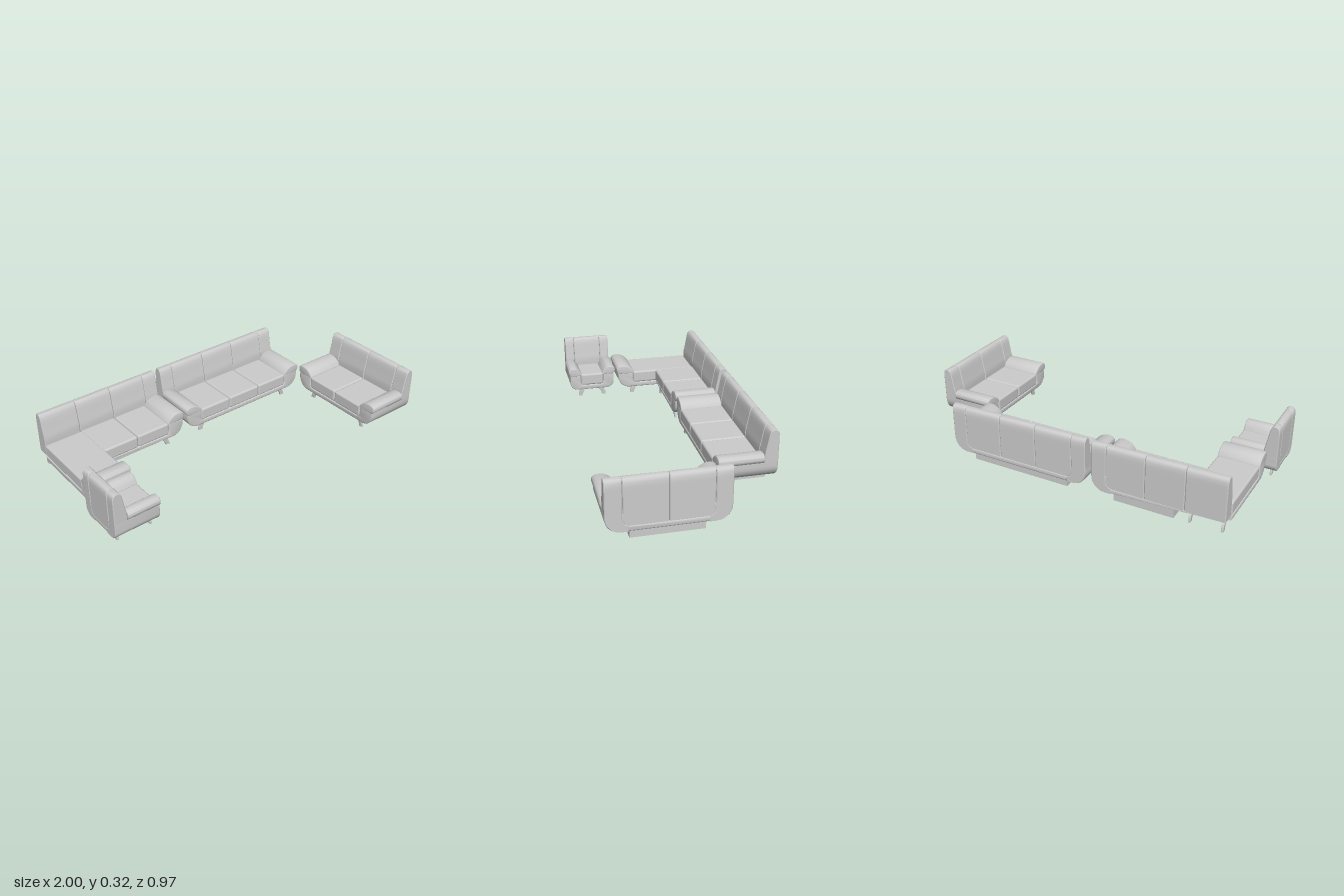
import * as THREE from 'three';
import { toCreasedNormals } from 'three/addons/utils/BufferGeometryUtils.js';
import { RoundedBoxGeometry } from 'three/addons/geometries/RoundedBoxGeometry.js';

const material = new THREE.MeshStandardMaterial({ color: 0xcccccc, side: THREE.DoubleSide });
const FLOOR = 0.05, SEAT = 0.08, BACK = 0.075;

function add(group, name, geometry) {
  const mesh = new THREE.Mesh(geometry, material);
  mesh.name = name;
  group.add(mesh);
  return mesh;
}

// Extrude a shape from z0 to z1 with a small soft edge
function extrude(shape, z0, z1, bevel = 0.006) {
  const g = new THREE.ExtrudeGeometry(shape, {
    depth: z1 - z0 - 2 * bevel, curveSegments: 10, bevelEnabled: bevel > 0,
    bevelThickness: bevel, bevelSize: bevel, bevelOffset: -bevel, bevelSegments: 3,
  });
  g.translate(0, 0, z0 + bevel);
  return toCreasedNormals(g, 0.7);
}

// Backrest side profile: height, rear z, front z
const profile = [[0.05, 0, 0.075], [0.19, 0, 0.074], [0.23, 0, 0.066], [0.28, 0, 0.057],
  [0.305, 0.001, 0.052], [0.316, 0.005, 0.047], [0.322, 0.01, 0.042], [0.325, 0.018, 0.036]];
const heights = [0.05, 0.052, 0.056, 0.063, 0.072, 0.08, 0.083, 0.088, 0.096, 0.11, 0.13, 0.16,
  0.19, 0.21, 0.23, 0.255, 0.28, 0.305, 0.316, 0.322, 0.325];

function profileAt(y) {
  let i = 0;
  while (i < profile.length - 2 && y > profile[i + 1][0]) i++;
  const [a, b] = [profile[i], profile[i + 1]];
  const t = (y - a[0]) / (b[0] - a[0]);
  return [a[1] + (b[1] - a[1]) * t, a[2] + (b[2] - a[2]) * t];
}

// Upright backrest slab lofted through chamfered rectangles; xa(y), xb(y) are its edges
function slab(xa, xb, bottom) {
  const pos = [], idx = [];
  const rows = heights.filter((y) => y >= bottom);
  rows.forEach((y) => {
    const [zb, zf] = profileAt(y), l = xa(y), r = xb(y);
    const c = Math.min(0.004, (r - l) * 0.3);
    [[l + c, zf], [r - c, zf], [r, zf - c], [r, zb + c], [r - c, zb], [l + c, zb], [l, zb + c], [l, zf - c]]
      .forEach(([x, z]) => pos.push(x, y, z));
  });
  for (let k = 0; k < rows.length - 1; k++) for (let i = 0; i < 8; i++) {
    const a = k * 8 + i, b = k * 8 + (i + 1) % 8;
    idx.push(a, b, b + 8, a, b + 8, a + 8);
  }
  const top = (rows.length - 1) * 8;
  for (let i = 1; i < 7; i++) idx.push(top, top + i, top + i + 1, 0, i + 1, i);
  const g = new THREE.BufferGeometry();
  g.setAttribute('position', new THREE.Float32BufferAttribute(pos, 3));
  g.setIndex(idx);
  return toCreasedNormals(g, 0.6);
}

// Body: a shallow tub with rounded lower corners, or a plain end where there is no arm
function shellShape(x0, x1, arm, left, right) {
  const R = arm - 0.01, top = 0.148, inner = arm + 0.012, s = new THREE.Shape();
  if (left) {
    s.moveTo(x0, top);
    s.lineTo(x0, FLOOR + R);
    s.absarc(x0 + R, FLOOR + R, R, Math.PI, Math.PI * 1.5, false);
  } else s.moveTo(x0, FLOOR);
  if (right) {
    s.absarc(x1 - R, FLOOR + R, R, -Math.PI / 2, 0, false);
    s.lineTo(x1, top);
    s.lineTo(x1 - inner, top);
    s.lineTo(x1 - inner, 0.105);
    s.quadraticCurveTo(x1 - inner, SEAT, x1 - inner - 0.025, SEAT);
  } else {
    s.lineTo(x1, FLOOR);
    s.lineTo(x1, SEAT);
  }
  if (left) {
    s.lineTo(x0 + inner + 0.025, SEAT);
    s.quadraticCurveTo(x0 + inner, SEAT, x0 + inner, 0.105);
    s.lineTo(x0 + inner, top);
  } else s.lineTo(x0, SEAT);
  s.closePath();
  return s;
}

// Pillow on an arm: leaf-shaped section that overhangs the outside
function armShape(x, arm, d) {
  const s = new THREE.Shape(), p = (u) => x + d * u, n = -(arm + 0.02);
  s.moveTo(p(n), 0.146);
  s.bezierCurveTo(p(n + 0.01), 0.17, p(n * 0.65), 0.196, p(-0.03), 0.196);
  s.bezierCurveTo(p(0), 0.197, p(0.009), 0.185, p(0.009), 0.17);
  s.quadraticCurveTo(p(0.008), 0.148, p(-0.012), 0.143);
  s.lineTo(p(n), 0.143);
  return s;
}

// Foot that curves outward to the ground
function legShape(x, d) {
  const s = new THREE.Shape();
  s.moveTo(x, 0.052);
  s.lineTo(x + d * 0.012, 0.052);
  s.quadraticCurveTo(x + d * 0.036, 0.04, x + d * 0.038, 0);
  s.lineTo(x + d * 0.014, 0);
  s.quadraticCurveTo(x + d * 0.012, 0.022, x, 0.034);
  return s;
}

// One seating unit: rear at z = 0, facing +z
function couch(name, o) {
  const { x0, x1, seats, depth = 0.32, arm = 0.085, left = true, right = true,
    back = true, skip = 0, plinth, legs } = o;
  const group = new THREE.Group(), R = arm - 0.01;
  group.name = name;
  add(group, 'body', extrude(shellShape(x0, x1, arm, left, right), 0.001, depth));

  const pa = x0 + (left ? arm : 0), pb = x1 - (right ? arm : 0), step = (pb - pa) / seats;
  const bend = (y, r, base) => (y >= base + r ? 0 : r - Math.sqrt(Math.max(0, r * r - (base + r - y) ** 2)));
  const inset = (y) => bend(Math.max(y, SEAT), 0.03, SEAT);

  for (let i = 0; i < seats; i++) {
    const a = pa + i * step, b = a + step;
    const first = left && i === 0, last = right && i === seats - 1;
    if (back) {
      add(group, 'backCushion', slab((y) => a + 0.001 + (first ? inset(y) : 0),
        (y) => b - 0.001 - (last ? inset(y) : 0), SEAT));
    }
    if (i < skip) continue;
    const sa = a + (first ? 0.012 : 0), sb = b - (last ? 0.012 : 0), z0 = back ? BACK - 0.005 : 0.002;
    add(group, 'seatCushion', new RoundedBoxGeometry(sb - sa - 0.002, 0.074, depth - z0 + 0.002, 3, 0.012))
      .position.set((sa + sb) / 2, 0.116, (depth + 0.002 + z0) / 2);
  }

  // Arms and the rounded frame beside the back cushions
  [[left, x0, -1], [right, x1, 1]].forEach(([on, x, d]) => {
    if (!on) return;
    add(group, 'armCushion', extrude(armShape(x, arm, d), back ? BACK : 0, depth + 0.001, 0.005));
    if (!back) return;
    const outer = (y) => x - d * bend(y, R, FLOOR), inner = (y) => x - d * (arm + inset(y));
    add(group, 'backFrame', d > 0 ? slab(inner, outer, FLOOR) : slab(outer, inner, FLOOR));
  });

  if (plinth) {
    const [a, b] = plinth;
    add(group, 'plinth', new THREE.BoxGeometry(b - a, 0.052, 0.23)).position.set((a + b) / 2, 0.026, 0.14);
  }
  legs.forEach(([x, z, d]) => add(group, 'leg', extrude(legShape(x, d), z - 0.006, z + 0.006, 0.001)));
  return group;
}

function place(group, x, z, angle) {
  group.position.set(x, 0, z);
  group.rotation.y = angle;
  return group;
}

export function createModel() {
  const model = new THREE.Group();
  model.name = 'loungeSet';

  // Three-seat sofa
  model.add(place(couch('sofa', {
    x0: -0.165, x1: 0.673, seats: 3, plinth: [-0.04, 0.555],
    legs: [[-0.035, 0.295, -1], [0.548, 0.295, 1]],
  }), 0, -0.485, 0));

  // Corner sofa: straight run, then the chaise with its arm at the front end
  model.add(place(couch('cornerSofa', {
    x0: -0.945, x1: -0.2, seats: 3, left: false, skip: 1, plinth: [-0.66, -0.32],
    legs: [[-0.66, 0.295, -1], [-0.325, 0.295, 1]],
  }), 0, -0.485, 0));
  model.add(place(couch('chaise', {
    x0: -0.083, x1: 0.41, seats: 1, depth: 0.235, right: false, back: false,
    legs: [[0.035, 0.03, -1], [0.035, 0.205, -1], [0.42, 0.03, 1], [0.42, 0.205, 1]],
  }), -0.95, 0, Math.PI / 2));

  // Two-seat sofa facing the middle
  model.add(place(couch('loveseat', {
    x0: -0.14, x1: 0.475, seats: 2, plinth: [-0.015, 0.355],
    legs: [[-0.01, 0.29, -1], [0.35, 0.29, 1]],
  }), 1, 0, -Math.PI / 2));

  // Armchair on four feet
  model.add(place(couch('armchair', {
    x0: -0.14, x1: 0.14, seats: 1, depth: 0.262, arm: 0.055,
    legs: [-1, 1].flatMap((d) => [[d * 0.05, 0.04, d], [d * 0.05, 0.235, d]]),
  }), -1, 0.25, Math.PI / 2));

  return model;
}
